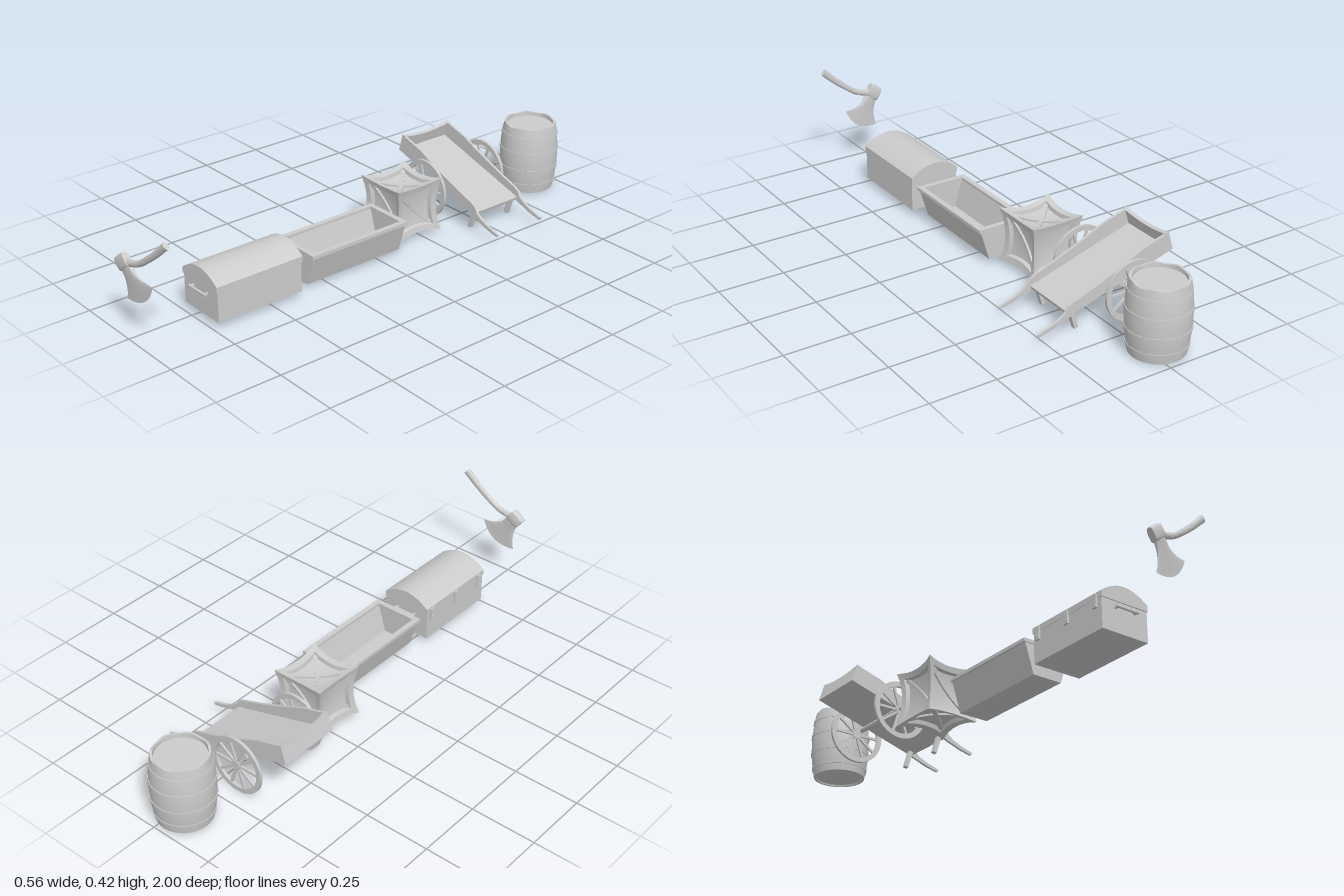
import * as THREE from 'three';
import { toCreasedNormals } from 'three/addons/utils/BufferGeometryUtils.js';
import { ParametricGeometry } from 'three/addons/geometries/ParametricGeometry.js';

const material = new THREE.MeshStandardMaterial({ color: 0xcccccc, side: THREE.DoubleSide });

function add(parent, name, geo, x = 0, y = 0, z = 0) {
  const m = new THREE.Mesh(toCreasedNormals(geo, 0.6), material);
  m.name = name;
  m.position.set(x, y, z);
  parent.add(m);
  return m;
}
function group(parent, name, x, y, z) {
  const g = new THREE.Group();
  g.name = name;
  g.position.set(x, y, z);
  parent.add(g);
  return g;
}
const box = (w, h, d, n = 1) => new THREE.BoxGeometry(w, h, d, n, n, n);
const shape = pts => new THREE.Shape(pts.map(p => new THREE.Vector2(...p)));
// Extrusion centred on its depth
const slab = (s, depth) => new THREE.ExtrudeGeometry(s, { depth, bevelEnabled: false, curveSegments: 24 })
  .translate(0, 0, -depth / 2);
// Moves every vertex by a rule
function warp(geo, rule) {
  const p = geo.attributes.position, v = new THREE.Vector3();
  for (let i = 0; i < p.count; i++) {
    rule(v.fromBufferAttribute(p, i));
    p.setXYZ(i, v.x, v.y, v.z);
  }
  return geo;
}

function barrel(root) {
  const g = group(root, 'barrel', -0.033, 0, -0.886);
  const radius = y => 0.113 - 0.014 * ((y - 0.142) / 0.137) ** 2;
  const profile = [[0, 0.012], [0.09, 0.012], [0.092, 0.006]];
  for (let i = 0; i <= 12; i++) {
    const y = 0.006 + i * 0.0223;
    profile.push([radius(y), y]);
  }
  profile.push([0.091, 0.274], [0.09, 0.258], [0, 0.258]);
  const body = new THREE.LatheGeometry(profile.map(p => new THREE.Vector2(...p)), 32);
  // Uneven stave tops
  warp(body, v => {
    if (v.y > 0.27) v.y += 0.003 * Math.sin(Math.atan2(v.z, v.x) * 7) - 0.001;
  });
  add(g, 'staves', body);
  for (const y of [0.038, 0.1, 0.172, 0.234]) {
    const a = y - 0.006, b = y + 0.006;
    const ring = [[radius(a) - 0.002, a], [radius(a) + 0.0025, a], [radius(b) + 0.0025, b], [radius(b) - 0.002, b]];
    add(g, 'hoop', new THREE.LatheGeometry(ring.map(p => new THREE.Vector2(...p)), 32));
  }
}

function cart(root) {
  const g = group(root, 'handCart', 0, 0, -0.535);
  const bed = group(g, 'bed', -0.277, 0.198, 0);
  bed.rotation.z = -0.2915;
  add(bed, 'floor', box(0.445, 0.012, 0.22), 0.2225, 0.006, 0);
  // Side boards run on into the shafts
  const side = shape([[0, 0], [0.42, 0], [0.46, -0.005], [0.52, -0.008], [0.573, -0.005], [0.577, 0.006],
    [0.52, 0.006], [0.48, 0.011], [0.455, 0.02], [0.441, 0.035], [0.42, 0.041], [0.32, 0.046],
    [0.2, 0.057], [0.11, 0.07], [0, 0.07]]);
  for (const s of [-1, 1]) {
    add(bed, 'sideBoard', slab(side, 0.01), 0, 0, s * 0.112);
    add(bed, 'leg', box(0.015, 0.074, 0.018), 0.426, -0.034, s * 0.095);
  }
  // Tail board with a dipped top edge
  const tail = new THREE.Shape();
  tail.moveTo(-0.117, 0);
  tail.lineTo(0.117, 0);
  tail.lineTo(0.117, 0.072);
  tail.quadraticCurveTo(0, 0.042, -0.117, 0.072);
  add(bed, 'tailBoard', slab(tail, 0.014).rotateY(Math.PI / 2), 0.006, 0, 0);

  add(g, 'axle', new THREE.CylinderGeometry(0.01, 0.01, 0.28, 12).rotateX(Math.PI / 2), -0.085, 0.118, 0.03);
  const rim = new THREE.Shape().absarc(0, 0, 0.112, 0, Math.PI * 2);
  rim.holes.push(new THREE.Path().absarc(0, 0, 0.093, 0, Math.PI * 2, true));
  for (const s of [-1, 1]) {
    const w = group(g, 'wheel', -0.085, 0.114, s * 0.15);
    add(w, 'rim', slab(rim, 0.011));
    add(w, 'hub', new THREE.CylinderGeometry(0.018, 0.018, 0.013, 16).rotateX(Math.PI / 2));
    for (let i = 0; i < 10; i++) {
      add(w, 'spoke', box(0.083, 0.009, 0.007).translate(0.056, 0, 0)).rotation.z = i * Math.PI / 5;
    }
  }
}

function crate(root) {
  const g = group(root, 'crate', -0.035, 0.12, -0.219);
  const h = 0.106, t = 0.024, c = h - t / 2;
  // Pinches the middle of every edge inwards
  const q = a => 1 - 0.14 * Math.max(0, 1 - (a / h) ** 2);
  const pinch = geo => warp(geo, v => v.set(v.x * q(v.y) * q(v.z), v.y * q(v.x) * q(v.z), v.z * q(v.x) * q(v.y)));
  add(g, 'panels', pinch(box(0.174, 0.174, 0.174, 8)));
  for (const a of [-c, c]) for (const b of [-c, c]) {
    add(g, 'frameBeam', pinch(box(2 * h, t, t, 8).translate(0, a, b)));
    add(g, 'frameBeam', pinch(box(t, 2 * h, t, 8).translate(a, 0, b)));
    add(g, 'frameBeam', pinch(box(t, t, 2 * h, 8).translate(a, b, 0)));
  }
  // One brace on each side, a cross on top and bottom
  const brace = angle => box(0.235, 0.02, 0.014, 8).rotateZ(angle).translate(0, 0, 0.09);
  for (let i = 0; i < 4; i++) add(g, 'brace', pinch(brace(-Math.PI / 4).rotateY(i * Math.PI / 2)));
  for (const s of [-1, 1]) for (const a of [-1, 1]) {
    add(g, 'crossBrace', pinch(brace(a * Math.PI / 4).rotateX(s * Math.PI / 2)));
  }
}

function trough(root) {
  const g = group(root, 'trough', 0.04, 0, 0.121);
  // Sloped side walls, upright ends
  const wall = shape([[0.06, 0.018], [0.097, 0.138], [0.083, 0.138], [0.052, 0.03], [0, 0.03], [0, 0.018]]);
  add(g, 'rightWall', slab(wall, 0.42));
  add(g, 'leftWall', slab(wall, 0.42).rotateY(Math.PI));
  const end = shape([[-0.06, 0.018], [0.06, 0.018], [0.097, 0.138], [-0.097, 0.138]]);
  for (const s of [-1, 1]) {
    add(g, 'endWall', slab(end, 0.014), 0, 0, s * 0.205);
    add(g, 'rimEnd', box(0.204, 0.013, 0.02), 0, 0.138, s * 0.206);
    add(g, 'rimSide', box(0.02, 0.013, 0.432), s * 0.092, 0.138, 0);
  }
}

function chest(root) {
  const g = group(root, 'chest', 0.04, 0, 0.56);
  add(g, 'body', box(0.196, 0.114, 0.35), 0, 0.083, 0);
  const lid = new THREE.Shape();
  lid.moveTo(-0.1, 0.139);
  lid.lineTo(0.1, 0.139);
  lid.lineTo(0.1, 0.161);
  lid.quadraticCurveTo(0.05, 0.2, 0, 0.2);
  lid.quadraticCurveTo(-0.05, 0.2, -0.1, 0.161);
  add(g, 'lid', slab(lid, 0.358));
  for (const s of [-1, 1]) {
    add(g, 'handle', new THREE.CylinderGeometry(0.005, 0.005, 0.096, 10).rotateZ(Math.PI / 2), 0, 0.115, s * 0.189);
    for (const x of [-0.04, 0.04]) add(g, 'handlePost', box(0.008, 0.007, 0.018), x, 0.115, s * 0.181);
  }
  for (const z of [-0.15, 0, 0.145]) {
    add(g, 'clasp', box(0.009, 0.05, 0.02), -0.102, 0.131, z);
    add(g, 'claspKnob', box(0.006, 0.014, 0.012), -0.105, 0.12, z);
  }
}

function axe(root) {
  const g = group(root, 'axe', 0, 0, 0);
  // Leans the whole tool slightly in depth
  const lean = geo => warp(geo, v => { v.z += 0.981 - 0.12 * (v.x + 0.05) + 0.05 * (v.y - 0.27); });
  const curve = pts => new THREE.CatmullRomCurve3(pts.map(p => new THREE.Vector3(...p, 0)));

  // Lens-shaped blade flaring from the neck to a curved edge
  const left = curve([[-0.042, 0.24], [-0.031, 0.205], [-0.03, 0.165], [-0.037, 0.131]]);
  const right = curve([[0.002, 0.268], [0.027, 0.24], [0.062, 0.226], [0.103, 0.222]]);
  const blade = new ParametricGeometry((u, v, out) => {
    const a = u * Math.PI * 2, s = (1 - Math.cos(a)) / 2, sin = Math.sin(a);
    out.copy(left.getPoint(v)).lerp(right.getPoint(v), s);
    const bulge = 0.033 * v * v * 4 * s * (1 - s);
    out.x += bulge * 0.55;
    out.y -= bulge * 0.83;
    out.z = Math.sign(sin) * Math.sqrt(Math.abs(sin)) * (0.011 * (1 - v) ** 1.3 + 0.0006);
  }, 40, 14);
  add(g, 'blade', lean(blade));

  // Rounded socket around the handle
  const socket = new THREE.CylinderGeometry(1, 1, 0.056, 20, 6);
  warp(socket, v => {
    const k = 1 - 0.1 * (v.y / 0.028) ** 2;
    v.x = Math.sign(v.x) * Math.sqrt(Math.abs(v.x)) * 0.029 * k;
    v.z *= 0.015 * k;
  });
  socket.rotateZ(-Math.PI / 2 + 0.63).rotateZ(0).translate(-0.034, 0.27, 0);
  add(g, 'socket', lean(socket));

  // Oval handle sweeping up to a wider grip end
  const path = curve([[-0.035, 0.272], [0.01, 0.279], [0.05, 0.293], [0.09, 0.32], [0.14, 0.359], [0.197, 0.411]]);
  const grip = new ParametricGeometry((u, v, out) => {
    const t = Math.min(v, 1), p = path.getPoint(t), d = path.getTangent(t), a = u * Math.PI * 2;
    const r = 0.0115 + 0.003 * (2 * v - 1) ** 2;
    out.set(p.x - d.y * Math.cos(a) * r, p.y + d.x * Math.cos(a) * r, -Math.sin(a) * r * 0.7);
  }, 14, 24);
  add(g, 'handle', lean(grip));
  const cap = new THREE.CircleGeometry(0.0145, 14).scale(1, 0.7, 1).rotateX(Math.PI / 2)
    .rotateZ(-Math.PI / 2 + 0.74).translate(0.197, 0.411, 0);
  add(g, 'handleEnd', lean(cap));
}

export function createModel() {
  const root = new THREE.Group();
  root.name = 'villageProps';
  for (const build of [barrel, cart, crate, trough, chest, axe]) build(root);
  return root;
}
